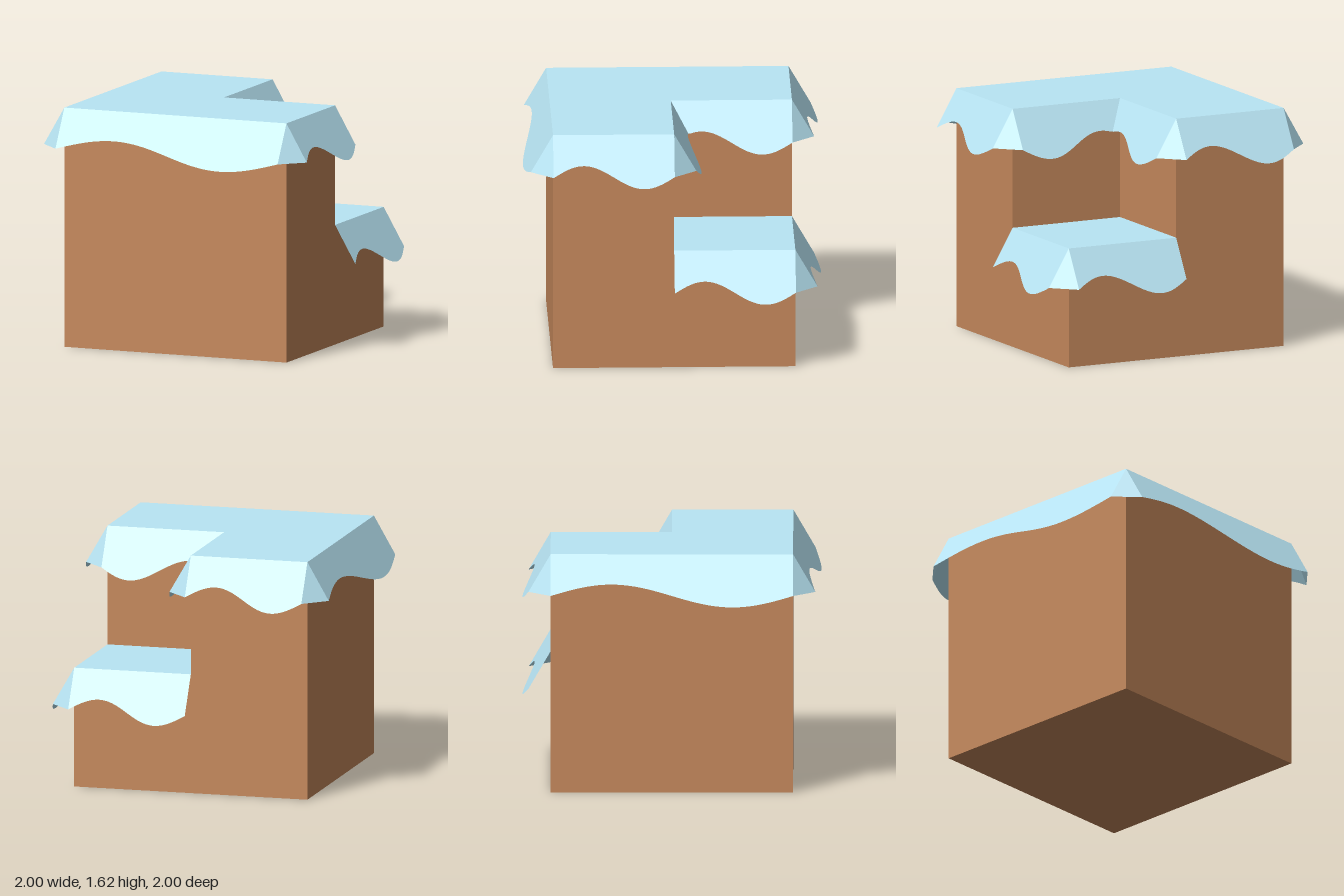
import * as THREE from 'three';

const B = 0.81, H = 1.62, LOW = 0.81;        // half width, full height, notch floor
const DROP = 0.256, WAVE = 0.07, SLOPE = 0.58; // flap drop, wave height, outward lean
const GAP = 0.003;                           // keeps the block just under the snow

const earth = new THREE.MeshStandardMaterial({ color: 0xc6895c, flatShading: true });
const snow = new THREE.MeshStandardMaterial({ color: 0xb9e6f5, flatShading: true, side: THREE.DoubleSide });

function mesh(name, geometry, material) {
  const m = new THREE.Mesh(geometry, material);
  m.name = name;
  return m;
}

function surface(positions, index) {
  const g = new THREE.BufferGeometry();
  g.setAttribute('position', new THREE.Float32BufferAttribute(positions, 3));
  g.setIndex(index);
  g.computeVertexNormals();
  return g;
}

// Outward direction of an edge running left to right as seen from outside
function outward(p, q) {
  const dx = q[0] - p[0], dz = q[1] - p[1], l = Math.hypot(dx, dz);
  return [-dz / l, dx / l];
}

// Leaning sheet with a wavy lower edge; inner = 'p' or 'q' mitres that end
function flap({ p, q, y, inner, flip = 1 }) {
  const n = outward(p, q), length = Math.hypot(q[0] - p[0], q[1] - p[1]);
  const steps = 64, pos = [], index = [];
  for (let i = 0; i <= steps; i++) {
    const t = i / steps;
    let drop = DROP - flip * WAVE * Math.sin(t * Math.PI * 2);
    if (inner) drop = Math.min(drop, (inner === 'p' ? t : 1 - t) * length / SLOPE);
    const x = p[0] + (q[0] - p[0]) * t, z = p[1] + (q[1] - p[1]) * t, out = drop * SLOPE;
    pos.push(x, y, z, x + n[0] * out, y - drop, z + n[1] * out);
    if (i < steps) {
      const a = i * 2;
      index.push(a, a + 1, a + 3, a, a + 3, a + 2);
    }
  }
  return surface(pos, index);
}

// Triangle joining the ends of two neighbouring flaps
function corner(a, b) {
  const [x, z] = a.q, y = a.y, out = DROP * SLOPE;
  const n = outward(a.p, a.q), m = outward(b.p, b.q);
  return surface([
    x, y, z,
    x + n[0] * out, y - DROP, z + n[1] * out,
    x + m[0] * out, y - DROP, z + m[1] * out,
  ], [0, 1, 2]);
}

export function createModel() {
  const model = new THREE.Group();
  model.name = 'snowyBlock';

  // Earth block: full lower half, L-shaped upper half
  const outline = new THREE.Shape([
    [-B, -B], [B, -B], [B, 0], [0, 0], [0, B], [-B, B],
  ].map(([x, y]) => new THREE.Vector2(x, y)));
  const lower = new THREE.BoxGeometry(B * 2, LOW - GAP, B * 2).translate(0, (LOW - GAP) / 2, 0);
  const upper = new THREE.ExtrudeGeometry(outline, { depth: H - LOW, bevelEnabled: false })
    .rotateX(-Math.PI / 2).translate(0, LOW - GAP, 0);
  model.add(mesh('lowerBlock', lower, earth), mesh('upperBlock', upper, earth));

  // Flat snow on both levels
  const topSnow = new THREE.ShapeGeometry(outline).rotateX(-Math.PI / 2).translate(0, H, 0);
  const ledgeSnow = new THREE.PlaneGeometry(B, B).rotateX(-Math.PI / 2).translate(B / 2, LOW, -B / 2);
  model.add(mesh('topSnow', topSnow, snow), mesh('ledgeSnow', ledgeSnow, snow));

  // Hanging snow, in order around each level
  const topEdges = [
    { name: 'front', p: [-B, B], q: [B, B], y: H },
    { name: 'leftFront', p: [B, B], q: [B, 0], y: H },
    { name: 'notchBack', p: [B, 0], q: [0, 0], y: H, inner: 'q', flip: -1 },
    { name: 'notchSide', p: [0, 0], q: [0, -B], y: H, inner: 'p' },
    { name: 'back', p: [0, -B], q: [-B, -B], y: H },
    { name: 'right', p: [-B, -B], q: [-B, B], y: H },
  ];
  const ledgeEdges = [
    { name: 'ledgeSide', p: [B, 0], q: [B, -B], y: LOW },
    { name: 'ledgeBack', p: [B, -B], q: [0, -B], y: LOW },
  ];
  for (const edge of [...topEdges, ...ledgeEdges]) {
    model.add(mesh(edge.name + 'SnowFlap', flap(edge), snow));
  }

  // Corner pieces, skipping the mitred inner corner and the open ledge ends
  topEdges.forEach((edge, i) => {
    if (edge.inner === 'q') return;
    model.add(mesh(edge.name + 'SnowCorner', corner(edge, topEdges[(i + 1) % topEdges.length]), snow));
  });
  model.add(mesh('ledgeSnowCorner', corner(ledgeEdges[0], ledgeEdges[1]), snow));

  return model;
}
